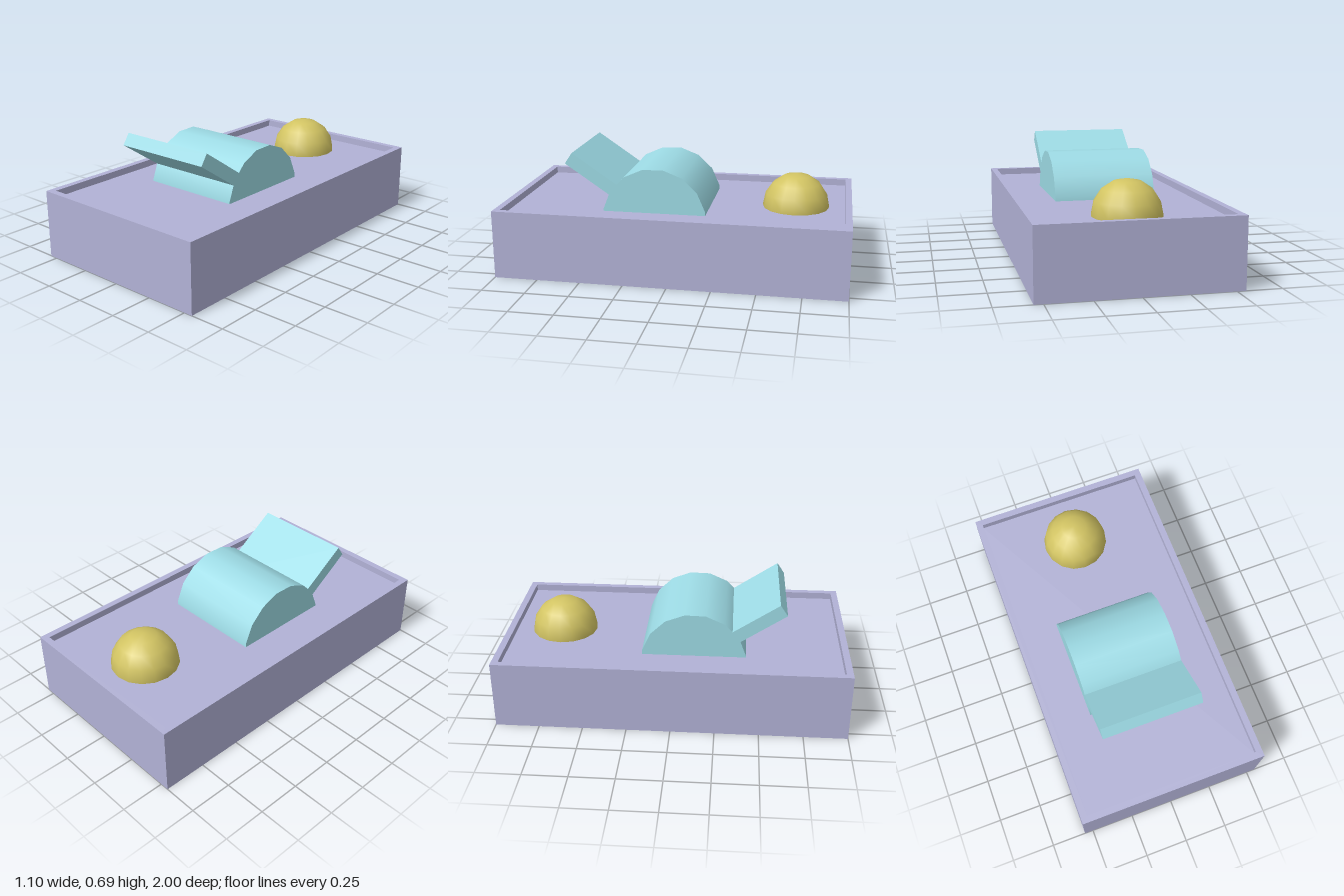
import * as THREE from 'three';

const mat = (color) => new THREE.MeshStandardMaterial({ color });

// Closed tray lofted through rectangular rings [halfX, y, halfZ], with flat faces
function trayGeometry(rings) {
  const pts = [];
  const corners = [[1, 1], [1, -1], [-1, -1], [-1, 1]]; // counter-clockwise seen from above
  const at = (r, c) => {
    const [sx, sz] = corners[c % 4];
    return [rings[r][0] * sx, rings[r][1], rings[r][2] * sz];
  };
  const quad = (a, b, c, d) => pts.push(...a, ...b, ...c, ...a, ...c, ...d);
  for (let r = 0; r < rings.length - 1; r++) {
    for (let c = 0; c < 4; c++) quad(at(r, c), at(r, c + 1), at(r + 1, c + 1), at(r + 1, c));
  }
  const last = rings.length - 1;
  quad(at(0, 3), at(0, 2), at(0, 1), at(0, 0)); // underside
  quad(at(last, 0), at(last, 1), at(last, 2), at(last, 3)); // recessed panel
  const geo = new THREE.BufferGeometry();
  geo.setAttribute('position', new THREE.Float32BufferAttribute(pts, 3));
  geo.computeVertexNormals();
  return geo;
}

export function createModel() {
  const model = new THREE.Group();
  const add = (parent, name, geometry, material) => {
    const mesh = new THREE.Mesh(geometry, material);
    mesh.name = name;
    parent.add(mesh);
    return mesh;
  };

  // Housing: outer walls, narrow rim, and a shallow recess on top
  const height = 0.395, floor = 0.355;
  add(model, 'housing', trayGeometry([
    [0.55, 0, 1], [0.55, height, 1], [0.512, height, 0.962], [0.512, floor, 0.962],
  ]), mat(0xb2b2d6));

  // Toggle switch: a half-sunk drum with a flat lever
  const toggle = new THREE.Group();
  toggle.name = 'toggleSwitch';
  model.add(toggle);
  const teal = mat(0x9ddbe5);
  const width = 0.592;
  const drum = add(toggle, 'drum',
    new THREE.CylinderGeometry(0.304, 0.304, width, 16, 1, false, 0.171), teal);
  drum.rotation.z = Math.PI / 2;
  drum.position.set(0, 0.312, 0.118);

  const lever = add(toggle, 'lever', new THREE.BoxGeometry(width, 0.076, 0.5), teal);
  lever.rotation.x = -0.593;
  lever.position.set(0, 0.519, 0.411);

  // Lamp dome
  const lamp = add(model, 'lamp', new THREE.SphereGeometry(0.194, 16, 8), mat(0xd2c463));
  lamp.position.set(0, 0.362, -0.675);

  return model;
}
